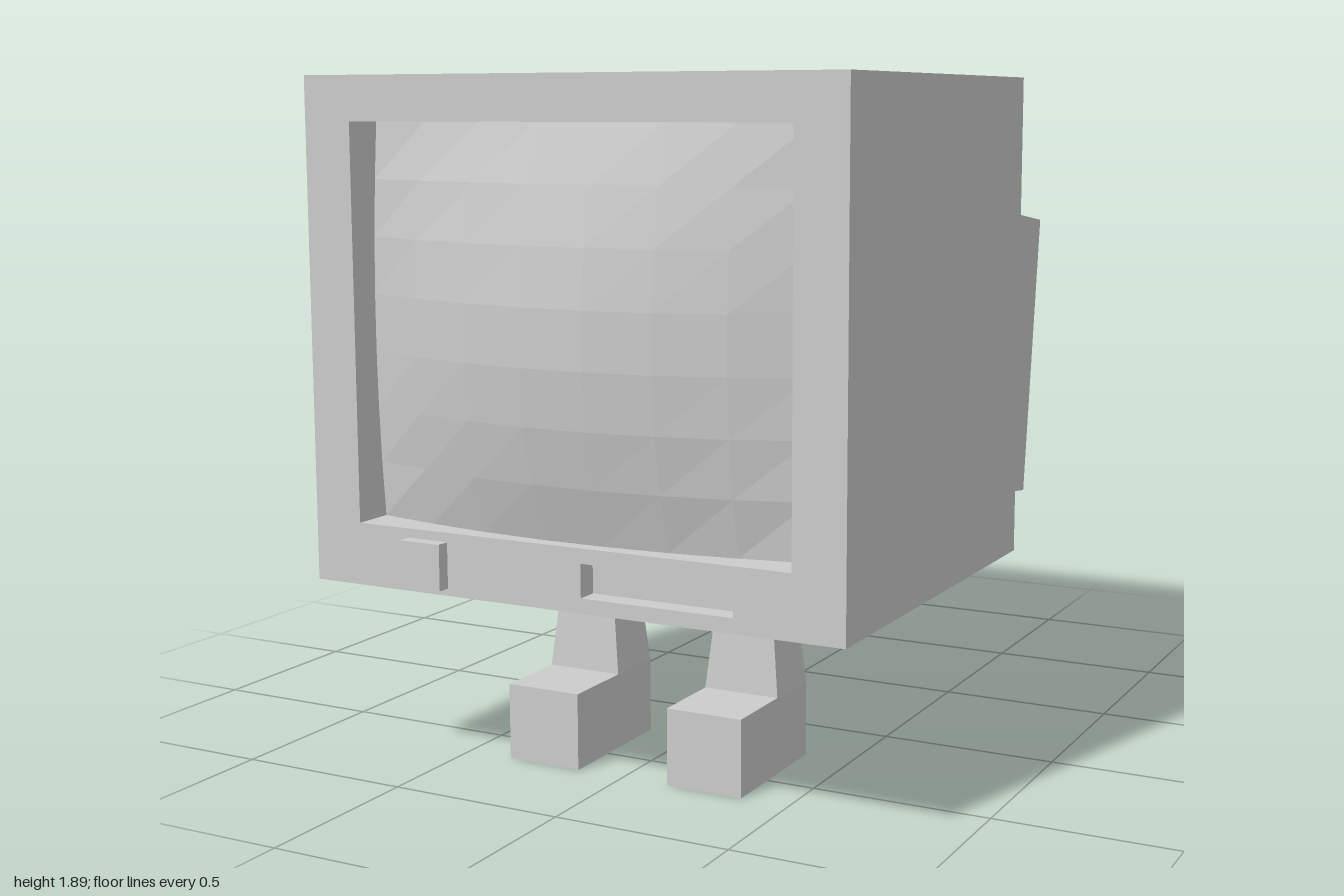
import * as THREE from 'three';

export function createModel() {
  const model = new THREE.Group();
  const grey = new THREE.MeshStandardMaterial({ color: 0xcccccc });

  const add = (name, geometry, x = 0, y = 0, z = 0, parent = model) => {
    const mesh = new THREE.Mesh(geometry, grey);
    mesh.name = name;
    mesh.position.set(x, y, z);
    parent.add(mesh);
    return mesh;
  };

  // Box given by its limits on each axis
  const addBox = (name, [x0, x1], [y0, y1], [z0, z1], parent) =>
    add(name, new THREE.BoxGeometry(x1 - x0, y1 - y0, z1 - z0),
      (x0 + x1) / 2, (y0 + y1) / 2, (z0 + z1) / 2, parent);

  // Rectangle outline, usable as a shape or as a hole
  const rectangle = (Type, x0, x1, y0, y1) => new Type([
    new THREE.Vector2(x0, y0), new THREE.Vector2(x1, y0),
    new THREE.Vector2(x1, y1), new THREE.Vector2(x0, y1),
  ]);

  // Casing: closed back part and a front bezel with screen and slot openings
  const front = 0.945, seam = 0.72;
  addBox('casing', [-0.787, 0.787], [0.53, 1.89], [-0.26, seam]);
  const bezel = rectangle(THREE.Shape, -0.787, 0.787, 0.53, 1.89);
  bezel.holes.push(
    rectangle(THREE.Path, -0.643, 0.643, 0.7, 1.77),
    rectangle(THREE.Path, 0.05, 0.485, 0.57, 0.66),
  );
  add('bezel', new THREE.ExtrudeGeometry(bezel, { depth: front - seam, bevelEnabled: false }), 0, 0, seam);
  addBox('slotFloor', [0.05, 0.485], [0.57, 0.66], [seam, front - 0.06]);

  // Bulging faceted screen
  const bulge = new THREE.PlaneGeometry(1.286, 1.07, 7, 7);
  const p = bulge.attributes.position;
  for (let i = 0; i < p.count; i++) {
    const u = (p.getX(i) / 0.643) ** 2, v = (p.getY(i) / 0.535) ** 2;
    p.setZ(i, -0.15 * u - 0.1 * v + 0.075 * u * v);
  }
  const facets = bulge.toNonIndexed();
  facets.computeVertexNormals();
  add('screen', facets, 0, 1.235, 1.004);

  // Power button
  addBox('button', [-0.485, -0.36], [0.55, 0.675], [0.9, 0.982]);

  // Tilted tube housing at the back
  const housing = add('tubeHousing', new THREE.BoxGeometry(1.19, 0.875, 0.9), 0, 1.073, -0.511);
  housing.rotation.x = -0.128;

  // Legs: tapered shin standing on the heel of a block foot
  for (const side of [-1, 1]) {
    const leg = new THREE.Group();
    leg.name = side > 0 ? 'leftLeg' : 'rightLeg';
    leg.position.x = side * 0.251;
    model.add(leg);
    addBox('foot', [-0.111, 0.111], [0, 0.215], [0.255, 0.66], leg);

    const shin = new THREE.BoxGeometry(0.222, 0.315, 0.185);
    const q = shin.attributes.position;
    for (let i = 0; i < q.count; i++) {
      if (q.getY(i) > 0) q.setXYZ(i, q.getX(i) * 0.7, q.getY(i), q.getZ(i) * 0.72);
    }
    const flat = shin.toNonIndexed();
    flat.computeVertexNormals();
    add('shin', flat, 0, 0.3725, 0.348, leg);
  }

  return model;
}
